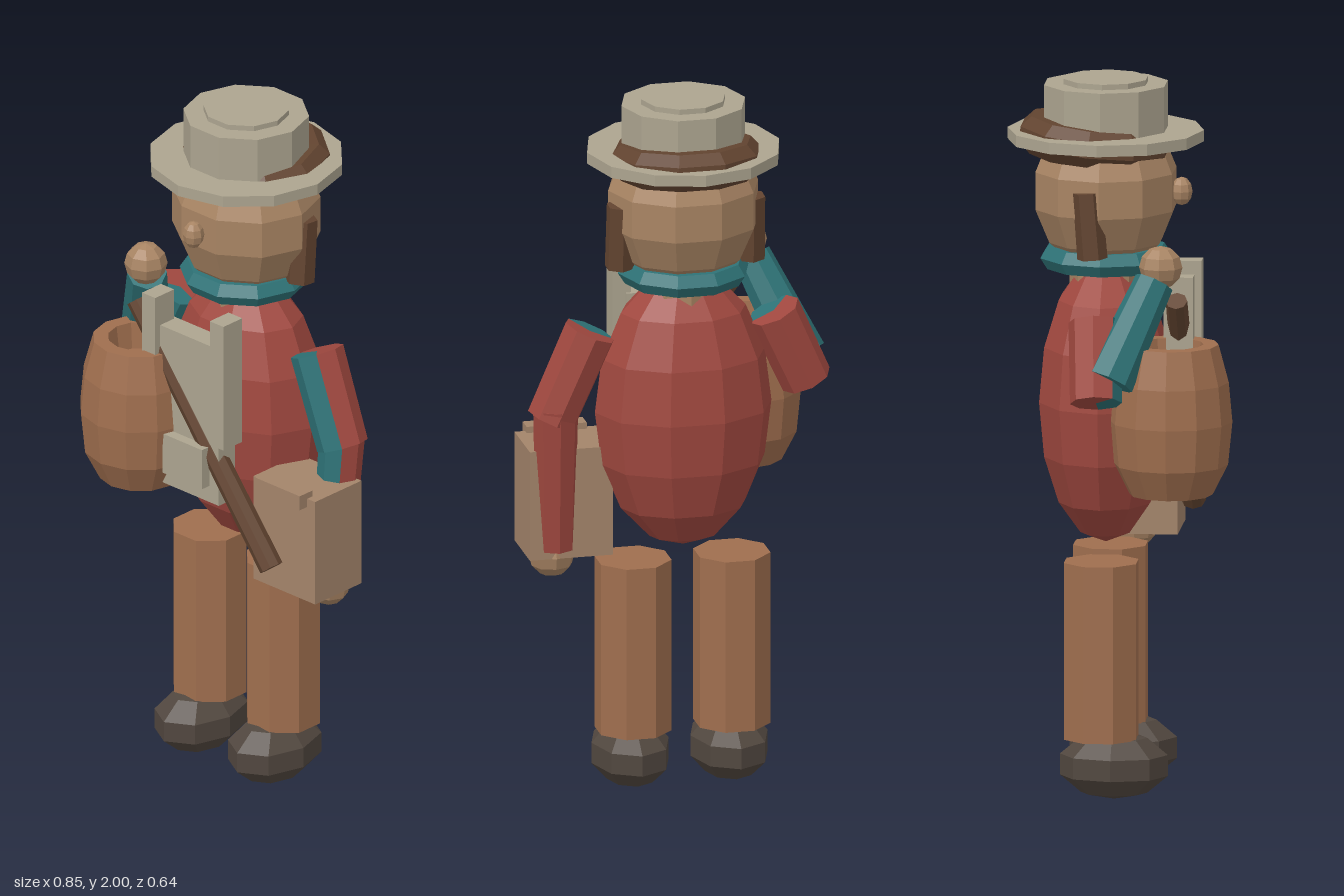
import * as THREE from 'three';

const mat = (name, color) => {
  const m = new THREE.MeshStandardMaterial({ color, flatShading: true });
  m.name = name;
  return m;
};

export function createModel() {
  const skin = mat('skin', 0xa88463);
  const red = mat('red cloth', 0xa0483f);
  const teal = mat('teal cloth', 0x2e7276);
  const brown = mat('warm brown', 0x9f6e4e);
  const wood = mat('dark wood and hair', 0x624430);
  const straw = mat('pale canvas', 0xaca48f);
  const shoe = mat('dark leather', 0x51473f);
  const box = mat('box tan', 0xa3846a);

  const model = new THREE.Group();
  const CX = -0.01, CZ = -0.05; // axis of the figure

  const add = (name, geo, material, x = 0, y = 0, z = 0) => {
    const mesh = new THREE.Mesh(geo, material);
    mesh.name = name;
    mesh.position.set(x, y, z);
    model.add(mesh);
    return mesh;
  };
  const ball = (name, m, x, y, z, rx, ry, rz, w = 8, h = 6) =>
    add(name, new THREE.SphereGeometry(1, w, h).scale(rx, ry, rz), m, x, y, z);
  const block = (name, m, x0, x1, y0, y1, z0, z1) =>
    add(name, new THREE.BoxGeometry(x1 - x0, y1 - y0, z1 - z0), m, (x0 + x1) / 2, (y0 + y1) / 2, (z0 + z1) / 2);
  // Upright drum between two heights
  const drum = (name, m, r, y0, y1, sides, x, z, turn = 0) =>
    add(name, new THREE.CylinderGeometry(r, r, y1 - y0, sides).rotateY(turn), m, x, (y0 + y1) / 2, z);
  // Straight rod from a lower point to an upper point, optionally only part of its sides
  const rod = (name, m, a, b, rLow, rTop, sides, start = 0, length = Math.PI * 2) => {
    const p = new THREE.Vector3(...a), q = new THREE.Vector3(...b);
    const d = q.clone().sub(p);
    const mid = p.clone().add(q).multiplyScalar(0.5);
    const geo = new THREE.CylinderGeometry(rTop, rLow, d.length(), sides, 1, false, start, length);
    const mesh = add(name, geo, m, mid.x, mid.y, mid.z);
    mesh.quaternion.setFromUnitVectors(new THREE.Vector3(0, 1, 0), d.normalize());
    return mesh;
  };
  const lathe = (points, sides) =>
    new THREE.LatheGeometry(points.map(([r, y]) => new THREE.Vector2(r, y)), sides);
  // Sleeve: teal on three front sides, red on the other five
  const sleeve = (name, a, b, rLow, rTop, side) => {
    const q = Math.PI / 4, start = side > 0 ? -2 * q : -q;
    rod(name + 'Front', teal, a, b, rLow, rTop, 3, start, 3 * q);
    rod(name + 'Back', red, a, b, rLow, rTop, 5, start + 3 * q, 5 * q);
  };

  // Legs and shoes
  for (const [side, x] of [['right', -0.148], ['left', 0.132]]) {
    drum(side + 'Leg', brown, 0.108, 0.175, 0.67, 8, x, CZ, Math.PI / 8);
    ball(side + 'Shoe', shoe, x, 0.1, -0.015, 0.115, 0.095, 0.157, 8, 5);
  }

  // Torso, neck and collar
  ball('torso', red, CX, 1.1, CZ, 0.25, 0.4, 0.187, 10, 8);
  drum('neck', skin, 0.1, 1.4, 1.58, 8, CX, CZ);
  add('collar', new THREE.TorusGeometry(0.145, 0.04, 6, 10).rotateX(Math.PI / 2).scale(1, 0.9, 1), teal, CX, 1.5, CZ);

  // Head, nose and side hair
  ball('head', skin, CX, 1.69, CZ, 0.218, 0.235, 0.204, 10, 7);
  ball('nose', skin, CX, 1.685, 0.16, 0.03, 0.04, 0.03, 8, 6);
  for (const s of [-1, 1]) {
    rod(s < 0 ? 'rightSideHair' : 'leftSideHair', wood,
      [CX + s * 0.185, 1.525, -0.07], [CX + s * 0.185, 1.71, -0.085], 0.042, 0.04, 6);
  }

  // Hair band pushing out around the hat
  const hair = lathe([[0, -0.06], [0.18, -0.06], [0.213, -0.025], [0.213, 0.015], [0.185, 0.045], [0, 0.05]], 10);
  add('hair', hair.rotateY(Math.PI / 10).rotateX(0.1), wood, CX, 1.835, -0.08);

  // Hat
  drum('hatBrim', straw, 0.272, 1.825, 1.857, 12, CX, CZ);
  drum('hatCrown', straw, 0.175, 1.857, 1.985, 10, CX, CZ, Math.PI / 10);
  drum('hatTop', straw, 0.119, 1.98, 2.0, 10, CX, CZ, Math.PI / 10);

  // Apron with straps and pocket
  block('apronBib', straw, -0.13, 0.11, 0.9, 1.38, 0.12, 0.185);
  block('rightStrap', straw, -0.163, -0.113, 1.09, 1.47, 0.13, 0.205);
  block('leftStrap', straw, 0.095, 0.147, 1.09, 1.47, 0.13, 0.205);
  block('apronPocket', straw, -0.075, 0.075, 0.95, 1.07, 0.17, 0.215);

  // Staff across the front
  rod('staff', wood, [0.292, 0.765, 0.165], [-0.22, 1.415, 0.165], 0.034, 0.03, 8);

  // Hollow basket
  add('basket', lathe([[0, 0.875], [0.115, 0.875], [0.158, 0.96], [0.17, 1.08], [0.16, 1.19], [0.132, 1.295],
    [0.09, 1.295], [0.08, 1.22], [0, 1.22]], 12), brown, -0.223, 0, 0.15);

  // Hanging arm on the left
  sleeve('leftUpperArm', [0.362, 1.09, -0.045], [0.255, 1.34, -0.055], 0.072, 0.075, 1);
  sleeve('leftForearm', [0.345, 0.71, -0.02], [0.352, 1.13, -0.055], 0.055, 0.064, 1);
  ball('leftHand', skin, 0.35, 0.685, 0.0, 0.066, 0.066, 0.06);

  // Raised arm on the right
  sleeve('rightUpperArm', [-0.36, 1.15, -0.045], [-0.265, 1.36, -0.055], 0.072, 0.075, -1);
  rod('rightForearm', teal, [-0.355, 1.21, -0.01], [-0.24, 1.47, 0.105], 0.07, 0.055, 8);
  ball('rightHand', skin, -0.228, 1.51, 0.122, 0.06, 0.06, 0.06);

  // Carried box with a front flap
  block('carriedBox', box, 0.19, 0.425, 0.685, 1.0, -0.055, 0.13);
  block('boxFlap', box, 0.225, 0.395, 0.975, 1.018, 0.11, 0.16);

  return model;
}
